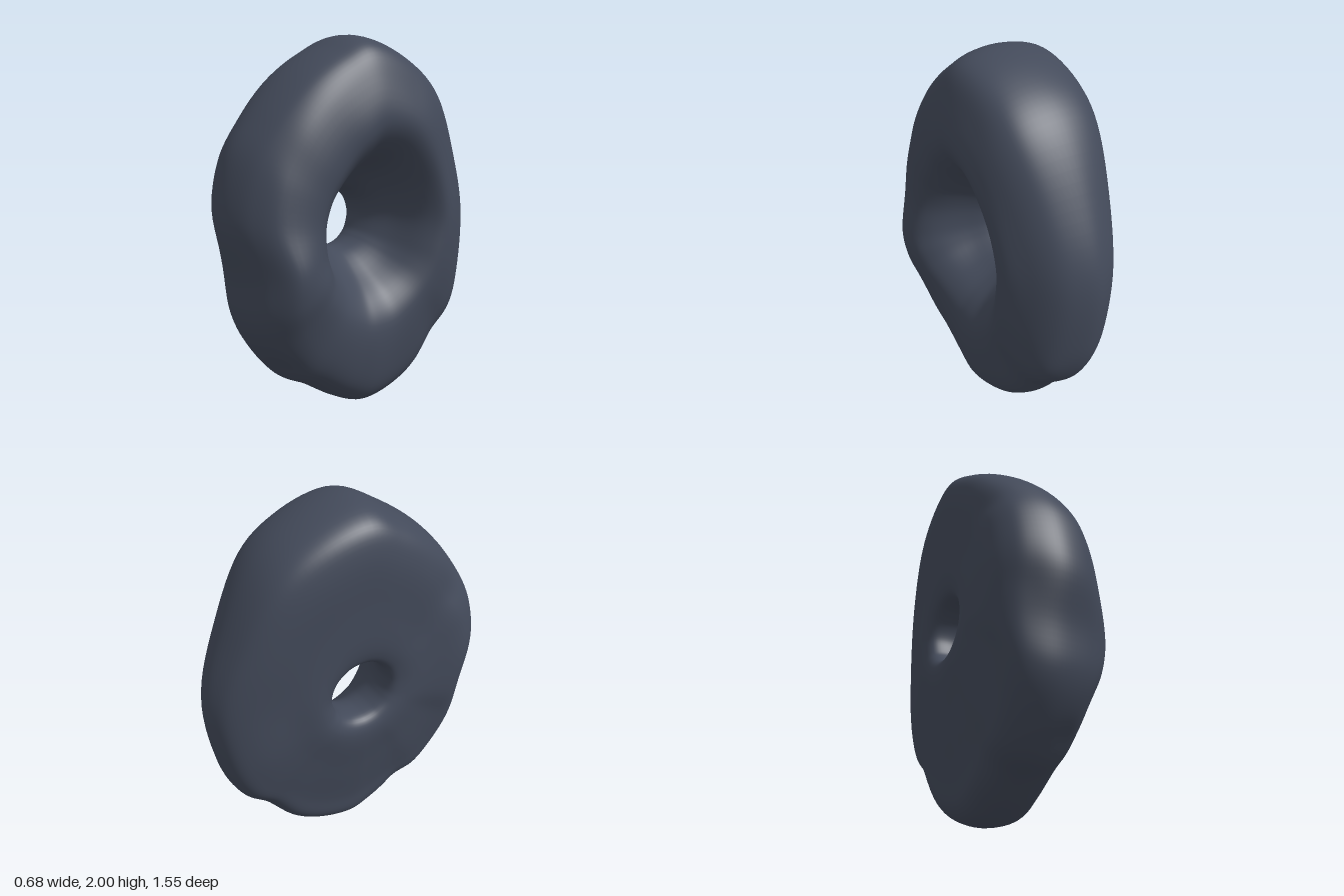
import * as THREE from 'three';

// Stations round the ring: [z, y of outer edge, shoulder x right/left faces, crest radius, crest x]
const STATIONS = [
  [0.02, 2.0, 0.295, -0.335, 0.54, 0.33], [0.22, 1.92, 0.29, -0.33, 0.49, 0.325],
  [0.42, 1.78, 0.285, -0.32, 0.44, 0.31], [0.6, 1.58, 0.28, -0.31, 0.41, 0.305],
  [0.72, 1.37, 0.27, -0.32, 0.405, 0.3], [0.77, 1.08, 0.28, -0.325, 0.41, 0.3],
  [0.715, 0.8, 0.335, -0.31, 0.44, 0.32], [0.69, 0.58, 0.315, -0.27, 0.47, 0.325],
  [0.61, 0.41, 0.275, -0.25, 0.49, 0.3], [0.47, 0.24, 0.245, -0.235, 0.5, 0.265],
  [0.32, 0.16, 0.235, -0.22, 0.51, 0.25], [0.15, 0.055, 0.23, -0.21, 0.53, 0.245],
  [0.0, 0.0, 0.235, -0.21, 0.54, 0.25], [-0.2, 0.04, 0.23, -0.21, 0.54, 0.25],
  [-0.36, 0.13, 0.23, -0.21, 0.52, 0.255], [-0.5, 0.29, 0.23, -0.22, 0.5, 0.265],
  [-0.64, 0.42, 0.235, -0.225, 0.48, 0.28], [-0.735, 0.66, 0.235, -0.235, 0.45, 0.295],
  [-0.77, 1.05, 0.23, -0.24, 0.44, 0.305], [-0.65, 1.42, 0.26, -0.275, 0.45, 0.315],
  [-0.47, 1.75, 0.295, -0.305, 0.5, 0.33], [-0.25, 1.92, 0.295, -0.325, 0.54, 0.335],
];
const CENTRE_Y = 1.015;
const HOLE = 0.162;

// Soft lumps (+) and dents (-): [x, y, z, radius, amount]
const LUMPS = [
  [-0.24, 0.98, 0.72, 0.13, -0.015], [0.05, 1.02, 0.76, 0.15, 0.005],
  [0.1, 0.3, 0.5, 0.1, -0.015], [-0.2, 0.24, 0.28, 0.08, -0.015],
  [-0.32, 1.5, 0.5, 0.1, -0.02], [0.3, 1.4, 0.55, 0.12, -0.01],
  [0.2, 0.5, -0.68, 0.1, 0.015], [-0.2, 0.33, -0.55, 0.09, -0.015],
];

// Closed section of the ring at one station, as points in space
function section([z, y, right, left, crestR, crestX]) {
  const R = Math.hypot(z, y - CENTRE_Y);
  const dz = z / R, dy = (y - CENTRE_Y) / R;
  const dish = (t) => HOLE + t * (crestR - HOLE);
  const inner = 0.5 * left - 0.16;
  // The tread is flatter at the top and bottom than at the front and back
  const box = dy * dy;
  const profile = [
    [HOLE, -0.2], [HOLE + 0.02, -0.08], [dish(0.33), 0.06], [dish(0.66), crestX * 0.77],
    [crestR, crestX], [R * 0.78, right * 0.99], [R * 0.91, right * (0.63 + 0.16 * box)],
    [R * 0.97, right * (0.28 + 0.2 * box)], [R, -0.04],
    [R * 0.97, left * (0.5 + 0.17 * box)], [R * 0.91, left * (0.78 + 0.12 * box)],
    [R * 0.78, left], [R * 0.52, inner], [0.25, -0.31], [HOLE + 0.02, -0.28],
  ];
  return profile.map(([r, x]) => new THREE.Vector3(x, CENTRE_Y + r * dy, r * dz));
}

function ringGeometry(around = 144, across = 80) {
  const sections = STATIONS.map(section);
  // Smooth rails run round the ring, smooth loops run across it
  const rails = sections[0].map((_, k) =>
    new THREE.CatmullRomCurve3(sections.map((s) => s[k]), true, 'catmullrom', 0.5));
  const positions = [], index = [];
  for (let i = 0; i < around; i++) {
    const loop = new THREE.CatmullRomCurve3(
      rails.map((rail) => rail.getPoint(i / around)), true, 'centripetal');
    for (let j = 0; j < across; j++) {
      const p = loop.getPoint(j / across);
      const out = new THREE.Vector3(p.x * 0.8, p.y - CENTRE_Y, p.z).normalize();
      for (const [x, y, z, radius, amount] of LUMPS) {
        const d2 = (p.x - x) ** 2 + (p.y - y) ** 2 + (p.z - z) ** 2;
        p.addScaledVector(out, amount * Math.exp(-d2 / (radius * radius)));
      }
      positions.push(p.x, p.y, p.z);
      const i2 = (i + 1) % around, j2 = (j + 1) % across;
      const a = i * across + j, b = i2 * across + j;
      const c = i2 * across + j2, d = i * across + j2;
      index.push(a, b, d, b, c, d);
    }
  }
  const geometry = new THREE.BufferGeometry();
  geometry.setAttribute('position', new THREE.Float32BufferAttribute(positions, 3));
  geometry.setIndex(index);
  // Turn the faces outward if the loops wind the other way
  let volume = 0;
  const v = (n) => new THREE.Vector3().fromArray(positions, index[n] * 3);
  for (let n = 0; n < index.length; n += 3) volume += v(n).dot(v(n + 1).cross(v(n + 2)));
  if (volume < 0) geometry.setIndex(index.reverse());
  geometry.computeVertexNormals();
  return geometry;
}

export function createModel() {
  const slate = new THREE.MeshStandardMaterial({ color: 0x434a5a });
  slate.name = 'slate';
  const ring = new THREE.Mesh(ringGeometry(), slate);
  ring.name = 'lumpyRing';
  const group = new THREE.Group();
  group.name = 'stoneRing';
  group.add(ring);
  return group;
}
